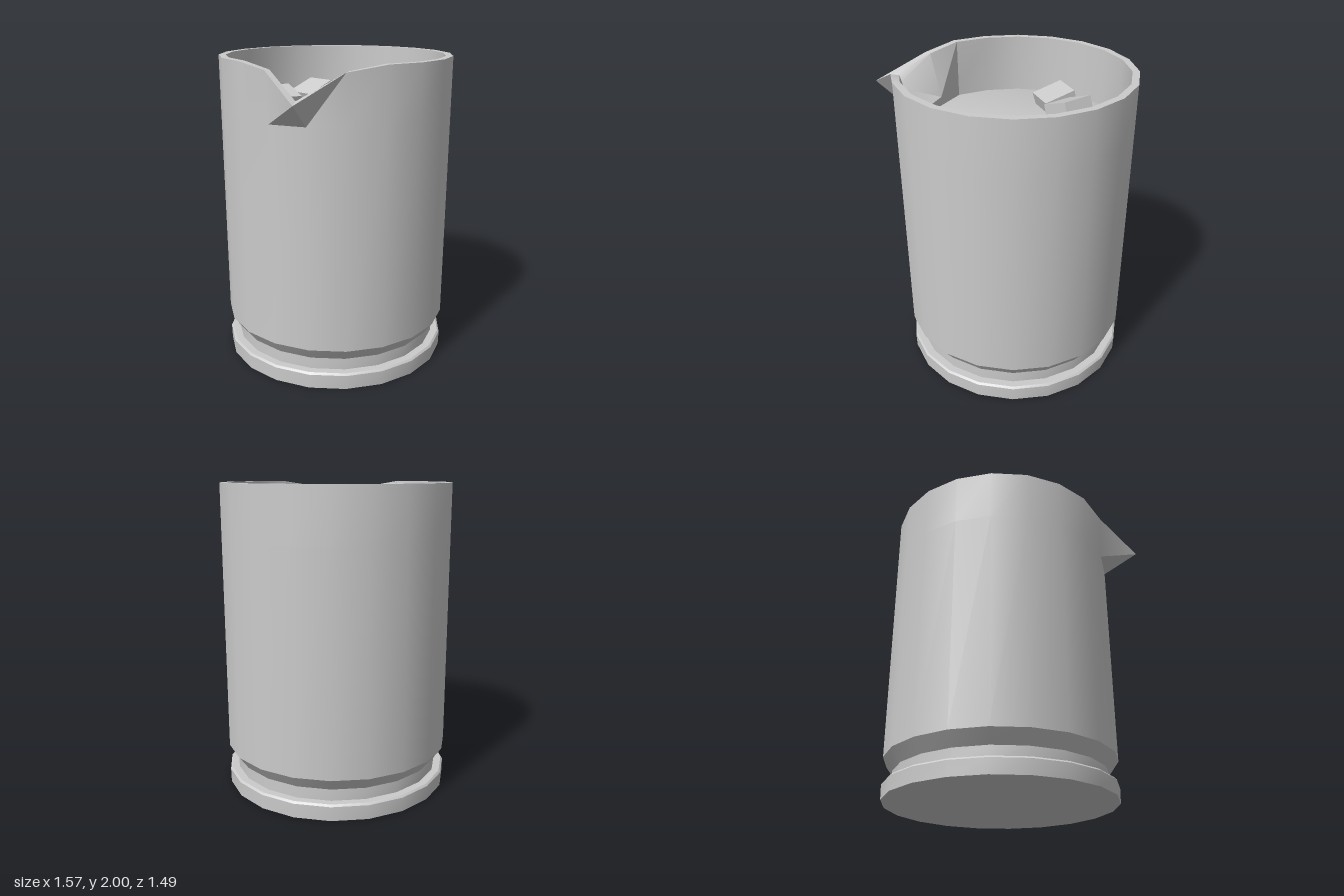
import * as THREE from 'three';
import { toCreasedNormals } from 'three/addons/utils/BufferGeometryUtils.js';

const SIDES = 20, CENTRE_X = 0.037, TURN = THREE.MathUtils.degToRad(2.3);
const material = new THREE.MeshStandardMaterial({ color: 0xcccccc });

// A horizontal ring of points; moved = { index: radius or [x, y, z] }
function ring(r, y, moved = {}) {
  return Array.from({ length: SIDES }, (_, k) => {
    const m = moved[k];
    if (Array.isArray(m)) return m;
    const a = TURN + (k / SIDES) * Math.PI * 2, rad = m ?? r;
    return [CENTRE_X + rad * Math.cos(a), y, rad * Math.sin(a)];
  });
}

// Skin a stack of rings
function skin(name, rings, creased = true) {
  const index = [];
  for (let i = 0; i < rings.length - 1; i++) {
    for (let k = 0; k < SIDES; k++) {
      const a = i * SIDES + k, b = i * SIDES + (k + 1) % SIDES;
      const c = a + SIDES, d = b + SIDES;
      index.push(a, c, b, b, c, d);
    }
  }
  let geo = new THREE.BufferGeometry();
  geo.setAttribute('position', new THREE.Float32BufferAttribute(rings.flat(2), 3));
  geo.setIndex(index);
  if (creased) geo = toCreasedNormals(geo, 0.5);
  else geo.computeVertexNormals();
  const mesh = new THREE.Mesh(geo, material);
  mesh.name = name;
  return mesh;
}

function cube(name, position, rotation) {
  const mesh = new THREE.Mesh(new THREE.BoxGeometry(0.215, 0.215, 0.215), material);
  mesh.name = name;
  mesh.position.set(...position);
  mesh.rotation.set(...rotation.map(THREE.MathUtils.degToRad), 'YXZ');
  return mesh;
}

export function createModel() {
  const group = new THREE.Group();
  group.name = 'jug';

  // Foot disc with a small bevel on its upper edge
  group.add(skin('foot', [
    ring(0, 0), ring(0.745, 0), ring(0.747, 0.093), ring(0.735, 0.105), ring(0.66, 0.105),
  ]));

  // Wall: neck, flare, outside, rim with the spout pulled out, then the inside
  const inset = { 7: 0.634, 8: 0.634, 9: 0.634 };
  group.add(skin('wallWithSpout', [
    ring(0.687, 0.09),
    ring(0.687, 0.18),
    ring(0.748, 0.265),
    ring(0.748, 1.66),
    ring(0.748, 2, { 7: [-0.45, 1.965, 0.595], 8: [-0.785, 1.815, 0.54], 9: [-0.7, 1.965, 0.2] }),
    ring(0.703, 2, { 7: [-0.4, 1.965, 0.56], 8: [-0.73, 1.83, 0.5], 9: [-0.655, 1.965, 0.19] }),
    ring(0.703, 1.68, { ...inset, 8: [-0.665, 1.785, 0.46] }),
    ring(0.703, 1.66, inset),
    ring(0.703, 1.5, inset),
  ]));

  // Liquid with softly shaded surface
  group.add(skin('liquid', [ring(0.71, 1.5), ring(0.71, 1.62), ring(0, 1.62)], false));

  // Floating ice cubes
  group.add(cube('iceCubeRight', [0.16, 1.655, -0.348], [0, 0, 21]));
  group.add(cube('iceCubeLeft', [-0.083, 1.63, -0.44], [16.5, -14.7, 0]));

  return group;
}
